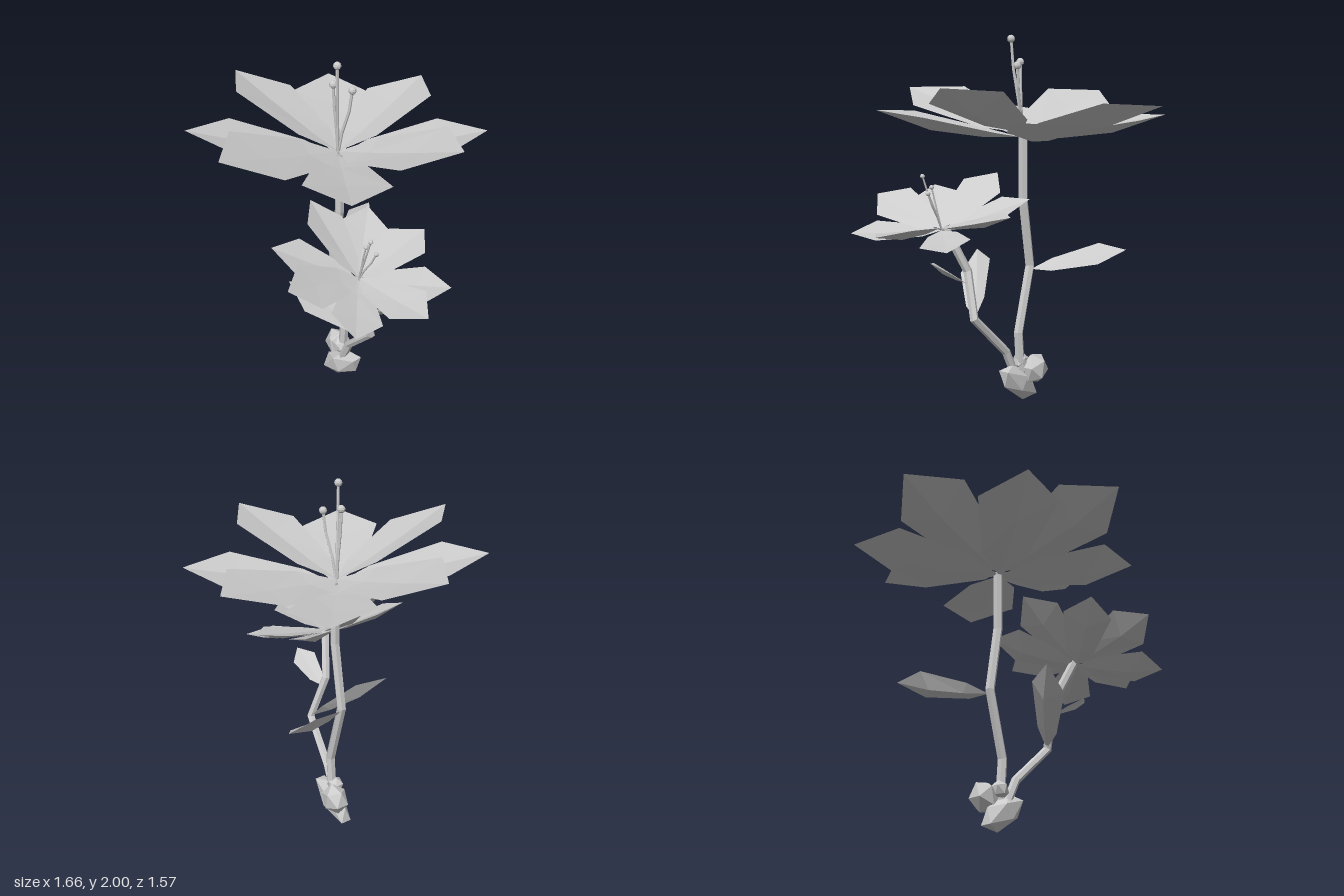
import * as THREE from 'three';

const material = new THREE.MeshStandardMaterial({ color: 0xcccccc, flatShading: true, side: THREE.DoubleSide });
const V = (p) => new THREE.Vector3(...p);

function add(parent, name, geometry) {
  const mesh = new THREE.Mesh(geometry, material);
  mesh.name = name;
  parent.add(mesh);
  return mesh;
}

// Faceted blade from base to tip with a shallow top and a keeled underside,
// turned about its own axis by roll
function bladeGeometry(base, tip, width, roll, keel) {
  const axis = tip.clone().sub(base);
  const length = axis.length();
  const dir = axis.clone().normalize();
  const side = new THREE.Vector3(0, 1, 0).cross(dir).normalize().applyAxisAngle(dir, roll);
  const normal = dir.clone().cross(side);
  const at = (t, s, n) => base.clone().addScaledVector(axis, t)
    .addScaledVector(side, s * width / 2).addScaledVector(normal, n * length);
  const points = [
    at(0, 0, 0),
    at(0.22, -0.6, keel * 0.1), at(0.25, 0, -keel * 0.15), at(0.22, 0.6, keel * 0.1),
    at(0.72, -1, keel * 0.4), at(0.62, 0, -keel * 0.15), at(0.72, 1, keel * 0.4),
    at(1, 0, 0),
    at(0.25, 0, -keel * 0.7), at(0.62, 0, -keel),
  ];
  const geometry = new THREE.BufferGeometry().setFromPoints(points);
  const top = [0, 2, 1, 0, 3, 2, 1, 2, 5, 1, 5, 4, 2, 3, 6, 2, 6, 5, 4, 5, 7, 5, 6, 7];
  const underside = top.map((i) => ({ 2: 8, 5: 9 })[i] ?? i).reverse();
  geometry.setIndex([...top, ...underside]);
  const flat = geometry.toNonIndexed();
  flat.computeVertexNormals();
  return flat;
}

// Tube with one straight, mitred segment between neighbouring points
function bentTube(points, radius, sides) {
  const path = new THREE.CatmullRomCurve3(points.map(V));
  path.getPointAt = path.getPoint;
  path.getTangentAt = path.getTangent;
  return new THREE.TubeGeometry(path, points.length - 1, radius, sides);
}

// Flower with its heart at the origin
function makeFlower(name) {
  const flower = new THREE.Group();
  flower.name = name;

  // Petals: tip x, y, z and roll; the first four form the upper ring
  const petals = [
    [-0.15, 0.165, -0.78, -0.17], [-0.79, 0.235, 0.04, 0.25],
    [0.05, 0.255, 0.79, -0.25], [0.75, 0.255, -0.11, 0.15],
    [-0.63, 0.105, -0.51, 0.06], [0.46, 0.085, -0.64, -0.06],
    [-0.48, 0.165, 0.61, 0.06], [0.61, 0.14, 0.48, -0.06],
  ];
  petals.forEach(([x, y, z, roll], i) => {
    const upper = i < 4;
    add(flower, upper ? 'upperPetal' : 'lowerPetal',
      bladeGeometry(V([0, upper ? 0.015 : -0.01, 0]), V([x, y, z]), 0.43, roll, 0.065));
  });

  // Stamens with round tips
  for (const [x, y, z] of [[0.04, 0.51, 0.04], [-0.012, 0.39, 0.02], [0.075, 0.37, -0.03]]) {
    add(flower, 'stamen', bentTube(
      [[0, 0, 0], [x * 0.3, y * 0.35, z * 0.3], [x * 0.8, y * 0.7, z * 0.8], [x, y, z]], 0.008, 6));
    add(flower, 'stamenTip', new THREE.SphereGeometry(0.021, 8, 6)).position.set(x, y, z);
  }
  return flower;
}

export function createModel() {
  const model = new THREE.Group();
  model.name = 'floweringPlant';

  // Stems
  add(model, 'mainStem', bentTube([
    [-0.02, 0.15, -0.02], [0, 0.4, -0.02], [-0.1, 0.76, -0.02],
    [-0.04, 1.13, -0.02], [-0.04, 1.48, -0.02]], 0.026, 6));
  add(model, 'sideStem', bentTube([
    [-0.01, 0.13, 0], [0.07, 0.3, 0.01], [0.285, 0.515, 0.05],
    [0.245, 0.76, 0.13], [0.345, 1.0, 0.2]], 0.024, 6));

  // Large flower, and a smaller one leaning to the side
  const large = makeFlower('largeFlower');
  large.position.set(-0.04, 1.475, -0.01);
  const small = makeFlower('smallFlower');
  small.position.set(0.355, 0.99, 0.215);
  small.rotation.set(0, -0.14, -0.3, 'ZYX');
  small.scale.setScalar(0.6);
  model.add(large, small);

  // Leaves: base, tip, width, roll
  const leaves = [
    [[-0.1, 0.74, -0.03], [-0.31, 0.87, -0.51], 0.17, 0.6],
    [[0.28, 0.52, 0.05], [-0.06, 0.82, 0.33], 0.2, -0.6],
    [[0.27, 0.7, 0.12], [0.53, 0.84, 0.13], 0.14, -0.3],
  ];
  for (const [base, tip, width, roll] of leaves) {
    add(model, 'leaf', bladeGeometry(V(base), V(tip), width, roll, 0.06));
  }

  // Rocks at the foot: position, half sizes, turn about z
  const rocks = [
    [[-0.01, 0.115, -0.01], [0.18, 0.08, 0.06], 0.6],
    [[-0.095, 0.185, -0.06], [0.09, 0.09, 0.07], 0.2],
    [[-0.03, 0.23, -0.01], [0.055, 0.05, 0.045], -0.3],
  ];
  for (const [position, size, turn] of rocks) {
    const rock = add(model, 'rock', new THREE.IcosahedronGeometry(1, 0));
    rock.position.set(...position);
    rock.scale.set(...size);
    rock.rotation.z = turn;
  }
  return model;
}
